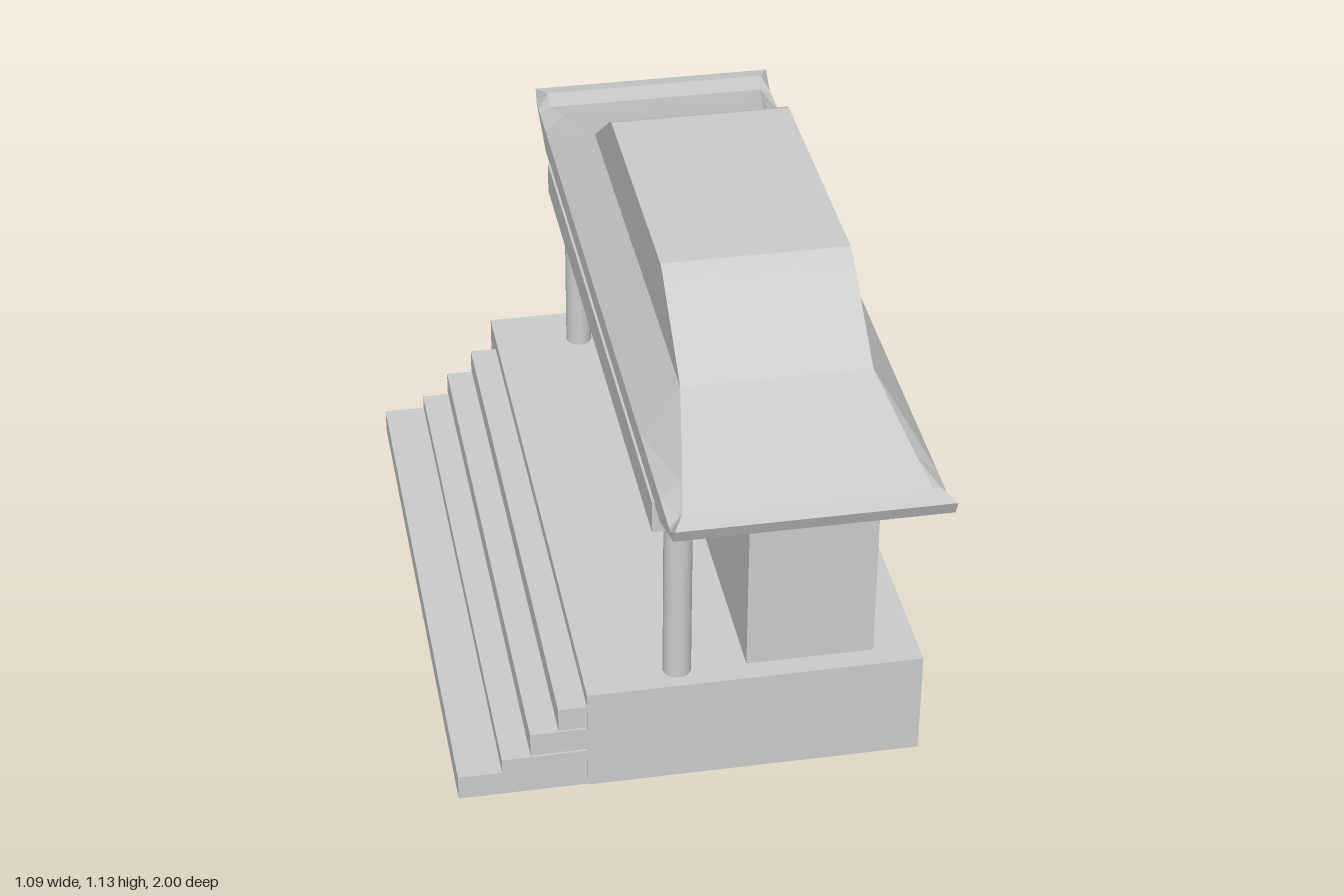
import * as THREE from 'three';

const grey = new THREE.MeshStandardMaterial({ color: 0xcccccc });
const greyFlat = new THREE.MeshStandardMaterial({ color: 0xcccccc, flatShading: true });
const greyShell = new THREE.MeshStandardMaterial({ color: 0xcccccc, side: THREE.DoubleSide });

// Box given by its extents; open = no underside
function block(name, [x0, x1], [y0, y1], [z0, z1], open = false) {
  const geo = new THREE.BoxGeometry(x1 - x0, y1 - y0, z1 - z0);
  if (open) {
    geo.setIndex([...geo.index.array].filter((_, i) => i < 18 || i >= 24));
    geo.clearGroups();
  }
  const mesh = new THREE.Mesh(geo, open ? greyShell : grey);
  mesh.name = name;
  mesh.position.set((x0 + x1) / 2, (y0 + y1) / 2, (z0 + z1) / 2);
  return mesh;
}

function column(name, x, z) {
  const y0 = 0.265, y1 = 0.755;
  const mesh = new THREE.Mesh(new THREE.CylinderGeometry(0.033, 0.033, y1 - y0, 24), grey);
  mesh.name = name;
  mesh.position.set(x, (y0 + y1) / 2, z);
  return mesh;
}

// Roof: eight-sided sections lofted from one upturned eave to the other
function roof() {
  const cx = 0.22, eaveHalf = 0.31, eaveY = 0.845;
  // [z of underside, y of underside, z of top, shoulder y, top y, top half width]
  const half = [
    [0.985, 0.845, 1.0, 0.88, 0.88, 0.31],
    [0.95, 0.832, 0.95, 0.89, 0.89, 0.285],
    [0.935, 0.826, 0.935, 0.857, 0.857, 0.28],
    [0.83, 0.785, 0.83, 0.887, 0.887, 0.262],
    [0.58, 0.785, 0.58, 0.965, 0.965, 0.22],
    [0.375, 0.785, 0.375, 0.965, 1.11, 0.22],
    [0.355, 0.785, 0.355, 0.965, 1.125, 0.22],
    [0.33, 0.785, 0.33, 0.965, 1.135, 0.22],
  ];
  const mirrored = half.map(([zb, yb, zt, ...rest]) => [-zb, yb, -zt, ...rest]).reverse();
  const rings = [...half, ...mirrored].map(([zb, yb, zt, ys, yt, w]) => {
    const side = [[eaveHalf, yb, zb], [eaveHalf, eaveY, zb], [w, ys, zt], [w, yt, zt]];
    const other = side.map(([x, y, z]) => [-x, y, z]).reverse();
    return [...side, ...other].map(([x, y, z]) => [cx + x, y, z]);
  });
  const pos = [];
  const quad = (a, b, c, d) => pos.push(...a, ...b, ...c, ...a, ...c, ...d);
  for (let i = 0; i < rings.length - 1; i++) {
    const r = rings[i], s = rings[i + 1];
    for (let j = 0; j < 8; j++) {
      const k = (j + 1) % 8;
      quad(r[j], s[j], s[k], r[k]);
    }
  }
  // Outer faces of the upturned lips
  const a = rings[0], b = rings[rings.length - 1];
  quad(a[0], a[3], a[4], a[7]);
  quad(b[7], b[4], b[3], b[0]);

  const geo = new THREE.BufferGeometry();
  geo.setAttribute('position', new THREE.Float32BufferAttribute(pos, 3));
  geo.computeVertexNormals();
  const mesh = new THREE.Mesh(geo, greyFlat);
  mesh.name = 'roof';
  return mesh;
}

export function createModel() {
  const model = new THREE.Group();
  model.name = 'pavilion';

  // Hollow platform
  model.add(block('platform', [-0.245, 0.545], [0, 0.265], [-0.855, 0.763], true));

  // Stairs: a hollow bottom tread, then slabs reaching under the platform
  const stairs = new THREE.Group();
  stairs.name = 'stairs';
  const stairZ = [-0.765, 0.76];
  stairs.add(block('bottomStep', [-0.548, -0.245], [0, 0.063], stairZ, true));
  [
    [[-0.445, -0.03], [0.063, 0.1]],
    [[-0.378, 0.09], [0.105, 0.165]],
    [[-0.312, 0.217], [0.17, 0.23]],
  ].forEach(([x, y], i) => stairs.add(block(`step${i + 2}`, x, y, stairZ)));
  model.add(stairs);

  // Hall, porch columns and the beam they carry
  model.add(block('hall', [0.137, 0.438], [0.265, 0.71], [-0.705, 0.71]));
  model.add(column('frontColumn', -0.025, 0.7), column('backColumn', -0.025, -0.727));
  model.add(block('beam', [-0.096, 0.536], [0.71, 0.79], [-0.755, 0.763]));

  model.add(roof());
  return model;
}
